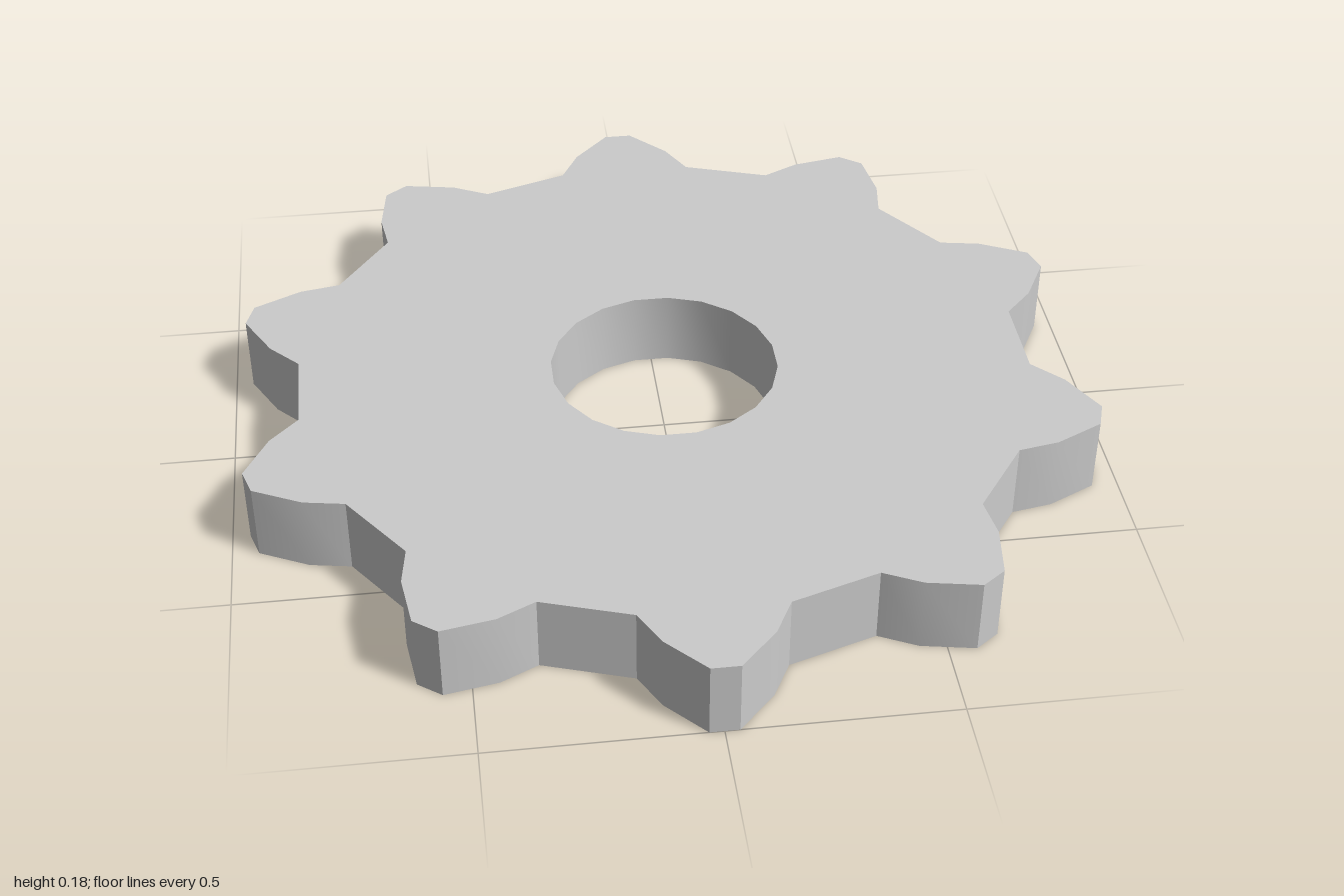
import * as THREE from 'three';
import { toCreasedNormals } from 'three/addons/utils/BufferGeometryUtils.js';

const TEETH = 10;
const THICKNESS = 0.18;
const BORE_RADIUS = 0.262;
const BORE_SIDES = 20;

// One tooth pointing along +y, from root to root
const HALF_TOOTH = [[0.16, 0.829], [0.116, 0.912], [0.032, 1]];
const TOOTH = [
  ...HALF_TOOTH,
  ...HALF_TOOTH.map(([x, y]) => [-x, y]).reverse(),
].map(([x, y]) => new THREE.Vector2(x, y));

export function createModel() {
  const group = new THREE.Group();
  group.name = 'sprocket';

  // Toothed outline, going round counter-clockwise
  const outline = [];
  const origin = new THREE.Vector2();
  for (let i = 0; i < TEETH; i++) {
    const angle = (i / TEETH) * Math.PI * 2;
    for (const p of TOOTH) outline.push(p.clone().rotateAround(origin, angle));
  }
  const shape = new THREE.Shape(outline);

  // Centre bore, with flats facing the axes
  const bore = [];
  for (let i = 0; i < BORE_SIDES; i++) {
    const a = -((i + 0.5) / BORE_SIDES) * Math.PI * 2;
    bore.push(new THREE.Vector2(Math.cos(a), Math.sin(a)).multiplyScalar(BORE_RADIUS));
  }
  shape.holes.push(new THREE.Path(bore));

  // Plate lying flat on the ground; tooth flanks and bore are smooth
  const plate = new THREE.ExtrudeGeometry(shape, { depth: THICKNESS, bevelEnabled: false });
  plate.rotateX(-Math.PI / 2);
  const gear = new THREE.Mesh(
    toCreasedNormals(plate, Math.PI / 6),
    new THREE.MeshStandardMaterial({ color: 0xcccccc })
  );
  gear.name = 'toothedPlate';
  group.add(gear);

  return group;
}
